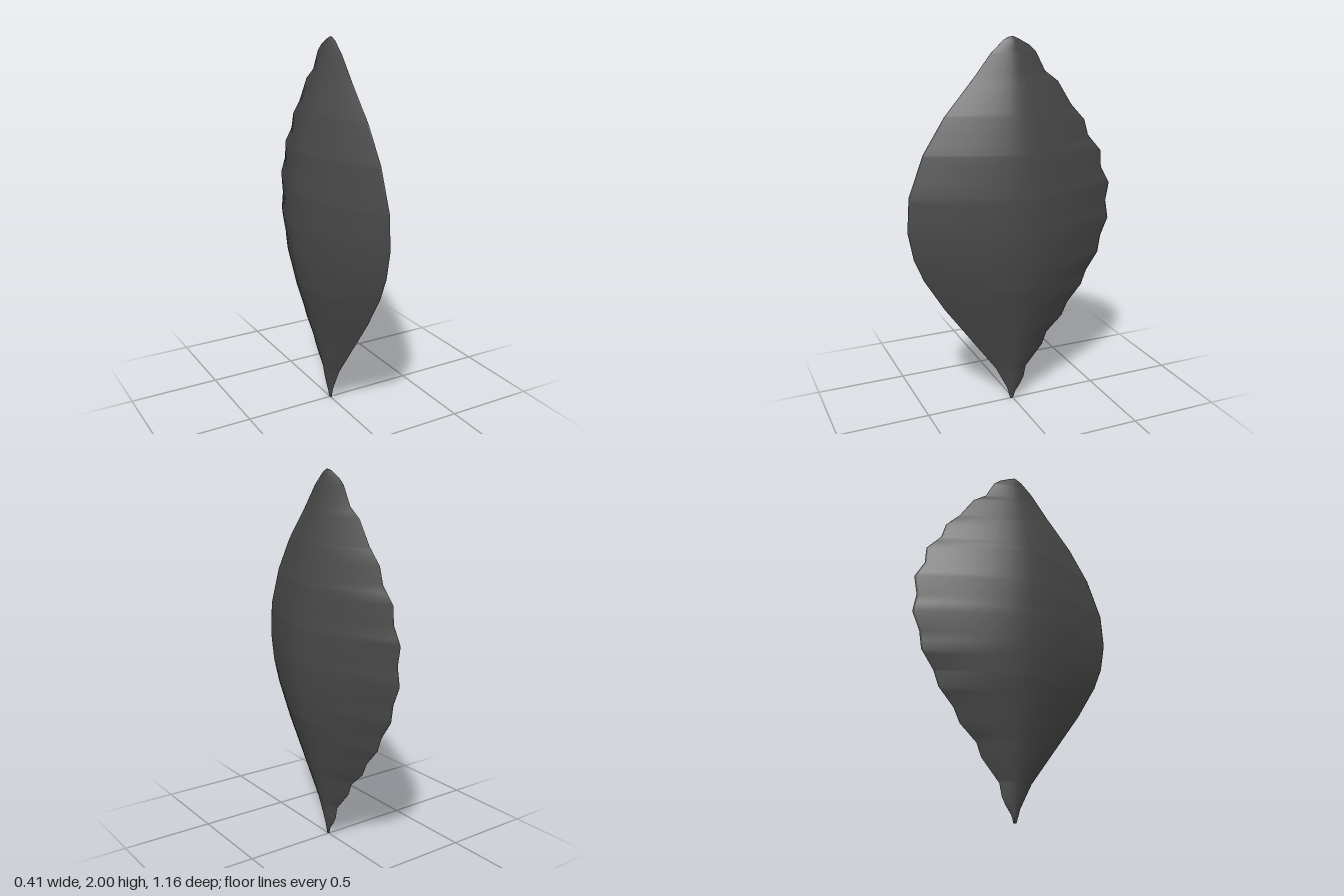
import * as THREE from 'three';

// [height, reach] outlines of the two edges, and [height, half thickness]
const FRONT = [[0, 0.015], [0.07, 0.035], [0.2, 0.1], [0.4, 0.245], [0.6, 0.39], [0.78, 0.5], [0.9, 0.55], [1.05, 0.578],
  [1.23, 0.565], [1.44, 0.485], [1.62, 0.37], [1.8, 0.215], [1.92, 0.12], [1.985, 0.05], [2, 0.02]];
const BACK = [[0, 0], [0.04, 0.016], [0.085, 0.048], [0.12, 0.066], [0.185, 0.08], [0.3, 0.18], [0.37, 0.207],
  [0.455, 0.3], [0.53, 0.335], [0.625, 0.42], [0.705, 0.45], [0.805, 0.52], [0.9, 0.535], [1, 0.578], [1.1, 0.56],
  [1.2, 0.578], [1.295, 0.525], [1.385, 0.52], [1.475, 0.44], [1.56, 0.415], [1.645, 0.335], [1.77, 0.255],
  [1.825, 0.18], [1.925, 0.127], [1.958, 0.09], [1.99, 0.03], [2, 0.005]];
const THICK = [[0, 0.005], [0.06, 0.015], [0.2, 0.04], [0.4, 0.09], [0.7, 0.168], [0.85, 0.192], [1, 0.205], [1.2, 0.204],
  [1.43, 0.178], [1.63, 0.13], [1.8, 0.075], [1.93, 0.035], [1.98, 0.02], [2, 0.006]];

// Linear lookup in an outline
function sample(table, y) {
  let i = 1;
  while (i < table.length - 1 && table[i][0] < y) i++;
  const [y0, v0] = table[i - 1], [y1, v1] = table[i];
  return v0 + (v1 - v0) * (y - y0) / (y1 - y0);
}

function shellGeometry() {
  const heights = [...new Set([...FRONT, ...BACK, ...THICK].map(p => p[0]))].sort((a, b) => a - b);
  const half = 16, ring = half * 2;
  const positions = [], index = [];

  // Lens-shaped sections: front edge, down the +x face to the back edge, and round again
  for (const y of heights) {
    const front = sample(FRONT, y), back = sample(BACK, y), thick = sample(THICK, y);
    for (let i = 0; i < ring; i++) {
      const s = Math.cos(i / ring * Math.PI * 2);
      const side = Math.sign(half - i) * (i === 0 ? 0 : 1);
      const x = side * thick * (1 - Math.pow(Math.abs(s), 1.45));
      positions.push(x, y, s > 0 ? s * front : s * back);
    }
  }
  for (let r = 0; r < heights.length - 1; r++) {
    for (let i = 0; i < ring; i++) {
      const a = r * ring + i, b = r * ring + (i + 1) % ring;
      index.push(a, b, b + ring, a, b + ring, a + ring);
    }
  }

  // Closing tips
  const last = (heights.length - 1) * ring, bottom = positions.length / 3, top = bottom + 1;
  positions.push(0, 0, 0.01, 0, 2, 0.01);
  for (let i = 0; i < ring; i++) {
    const j = (i + 1) % ring;
    index.push(bottom, j, i, top, last + i, last + j);
  }

  const geometry = new THREE.BufferGeometry();
  geometry.setAttribute('position', new THREE.Float32BufferAttribute(positions, 3));
  geometry.setIndex(index);
  geometry.computeVertexNormals();
  return geometry;
}

export function createModel() {
  const group = new THREE.Group();
  group.name = 'scallopedShell';
  const darkGrey = new THREE.MeshStandardMaterial({ color: 0x484848 });
  darkGrey.name = 'darkGrey';
  const shell = new THREE.Mesh(shellGeometry(), darkGrey);
  shell.name = 'shell';
  group.add(shell);
  return group;
}
